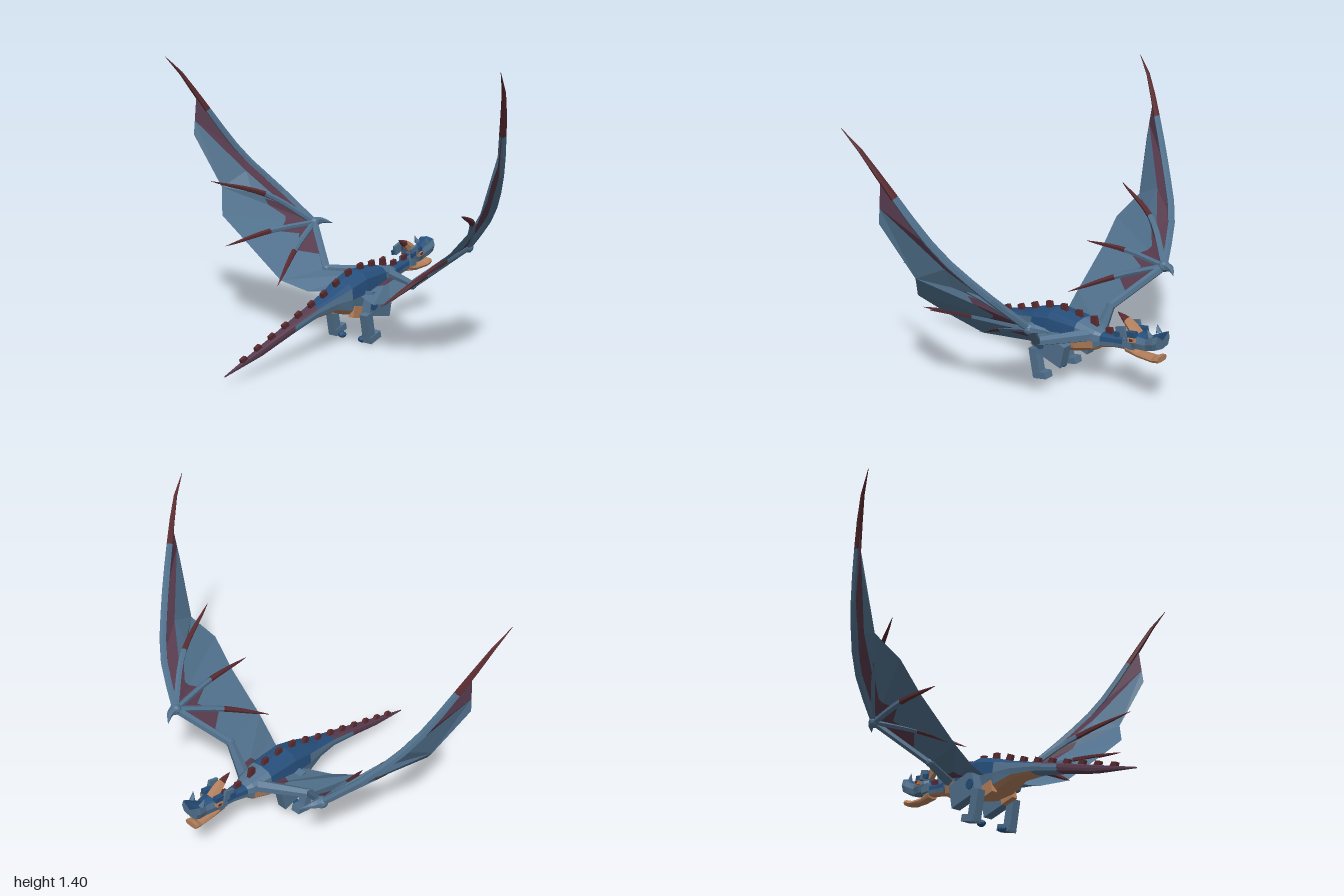
import * as THREE from 'three';

const mat = (name, color) => {
  const m = new THREE.MeshStandardMaterial({ color, flatShading: true, side: THREE.DoubleSide });
  m.name = name;
  return m;
};
const V = (x, y, z) => new THREE.Vector3(x, y, z);
const lerp = (a, b, t) => a.clone().lerp(b, t);

export function createModel() {
  const skin = mat('slate blue skin', 0x52728e);
  const back = mat('deep blue back', 0x264f7c);
  const maroon = mat('maroon marking', 0x583b4e);
  const spike = mat('dark red spike', 0x5a2b30);
  const belly = mat('tan belly', 0xb5805c);

  const model = new THREE.Group();
  const dragon = new THREE.Group();
  dragon.name = 'dragon';
  dragon.rotation.y = 0.04;
  dragon.position.x = -0.003;
  model.add(dragon);

  const add = (name, geo, material, parent = dragon) => {
    const m = new THREE.Mesh(geo, material);
    m.name = name;
    parent.add(m);
    return m;
  };
  const box = (name, material, size, pos, tilt = 0) => {
    const m = add(name, new THREE.BoxGeometry(...size), material);
    m.position.set(...pos);
    m.rotation.x = tilt;
  };
  const triMesh = (name, pts, material, parent) => {
    const g = new THREE.BufferGeometry().setFromPoints(pts);
    g.computeVertexNormals();
    add(name, g, material, parent);
  };

  // Loft of squarish sections [z, bottom, top, half width]; pick(i, up) gives the colour
  const loft = (name, rows, pick, sides = 12) => {
    const buckets = new Map();
    const pw = (v) => Math.sign(v) * Math.abs(v) ** 0.62;
    const at = (i, j) => {
      const [z, lo, hi, w] = rows[i], a = (j / sides) * Math.PI * 2;
      return V(w * pw(Math.cos(a)), (lo + hi) / 2 + ((hi - lo) / 2) * pw(Math.sin(a)), z);
    };
    const put = (m, ...p) => buckets.set(m, (buckets.get(m) || []).concat(p));
    for (let j = 0; j < sides; j++) {
      const up = Math.sin(((j + 0.5) / sides) * Math.PI * 2);
      for (let i = 0; i < rows.length - 1; i++) {
        const p = at(i, j), q = at(i, j + 1), r = at(i + 1, j + 1), s = at(i + 1, j);
        put(pick(i, up), p, q, r, p, r, s);
      }
      const n = rows.length - 1;
      const mid = (i) => V(0, (rows[i][1] + rows[i][2]) / 2, rows[i][0]);
      put(pick(0, up), mid(0), at(0, j + 1), at(0, j));
      put(pick(n - 1, up), mid(n), at(n, j), at(n, j + 1));
    }
    for (const [m, pts] of buckets) triMesh(`${name} ${m.name}`, pts, m);
  };

  // Tapered bone along a curve, second colour after the fraction "split"
  const bone = (name, pts, radius, mats, split, parent) => {
    const n = 10, sides = 6, path = new THREE.CatmullRomCurve3(pts);
    const g = new THREE.TubeGeometry(path, n, 1, sides);
    const p = g.attributes.position, v = V();
    for (let i = 0; i < p.count; i++) {
      const t = Math.floor(i / (sides + 1)) / n, c = path.getPointAt(t);
      v.fromBufferAttribute(p, i).sub(c).multiplyScalar(radius(t)).add(c);
      p.setXYZ(i, v.x, v.y, v.z);
    }
    const cut = Math.round(split * n) * sides * 6;
    g.addGroup(0, cut, 0);
    g.addGroup(cut, n * sides * 6 - cut, 1);
    g.computeVertexNormals();
    add(name, g, mats, parent);
  };

  // Neck, trunk and tail in one sweep
  const spine = [
    [-0.64, 0.29, 0.35, 0.028], [-0.53, 0.272, 0.33, 0.03], [-0.45, 0.25, 0.325, 0.042],
    [-0.42, 0.225, 0.335, 0.058], [-0.32, 0.19, 0.355, 0.078], [-0.15, 0.15, 0.36, 0.084],
    [-0.04, 0.155, 0.325, 0.077], [0.06, 0.192, 0.283, 0.06], [0.18, 0.186, 0.245, 0.042],
    [0.34, 0.148, 0.195, 0.032], [0.55, 0.09, 0.128, 0.019], [0.785, 0.047, 0.053, 0.002],
  ];
  loft('body', spine, (i, up) => {
    if (i >= 9 || (i === 8 && up > 0.4)) return maroon;
    if (i < 8 && up < (i === 3 || i === 4 ? -0.2 : -0.6)) return belly;
    if (i === 2 || i === 3) return skin;
    return up > (i < 6 ? 0.2 : 0.6) ? back : skin;
  });
  const topAt = (z) => {
    const i = Math.max(0, spine.findIndex((r) => r[0] > z) - 1), [a, b] = [spine[i], spine[i + 1]];
    return a[2] + ((b[2] - a[2]) * (z - a[0])) / (b[0] - a[0]);
  };

  // Row of swept-back plates
  for (let k = 0; k < 14; k++) {
    const z = -0.58 + k * 0.095;
    const h = z < -0.45 ? 0.028 : z < -0.3 ? 0.045 : 0.031 - 0.02 * Math.max(0, z);
    const s = new THREE.Shape([[-0.02, -0.015], [0.022, -0.015], [0.026, h * 0.8], [-0.006, h]].map((p) => new THREE.Vector2(...p)));
    const g = new THREE.ExtrudeGeometry(s, { depth: 0.018, bevelEnabled: false });
    g.translate(0, 0, -0.009).rotateY(-Math.PI / 2);
    const m = add('backSpike', g, spike);
    m.position.set(0, topAt(z), z);
    m.rotation.x = z > -0.1 ? 0.24 : 0;
  }

  // Head: skull, flared snout, hanging jaw, crest
  loft('skull', [
    [-0.785, 0.345, 0.428, 0.052], [-0.76, 0.332, 0.415, 0.05], [-0.71, 0.312, 0.385, 0.034],
    [-0.66, 0.308, 0.39, 0.046], [-0.61, 0.308, 0.392, 0.042], [-0.59, 0.31, 0.37, 0.028],
  ], (i, up) => (up > 0.8 ? back : skin), 8);
  loft('jaw', [
    [-0.785, 0.28, 0.312, 0.036], [-0.765, 0.274, 0.308, 0.036], [-0.745, 0.27, 0.295, 0.032],
    [-0.66, 0.265, 0.292, 0.026], [-0.59, 0.272, 0.315, 0.03],
  ], () => belly, 8);
  bone('crestHorn', [V(0, 0.37, -0.645), V(0, 0.415, -0.59), V(0, 0.448, -0.525)],
    (t) => 0.028 * (1 - t * t) + 0.002, [belly, spike], 0.6);

  for (const s of [1, -1]) {
    const P = (x, y, z) => V(s * x, y, z);
    // Nose horns, brows, cheeks and ear frills
    bone('noseHorn', [P(0.032, 0.4, -0.74), P(0.036, 0.42, -0.73), P(0.038, 0.437, -0.725)],
      (t) => 0.014 * (1 - t) + 0.001, [skin, skin], 1);
    box('brow', back, [0.026, 0.026, 0.05], [s * 0.04, 0.385, -0.64], 0.2);
    box('cheek', belly, [0.024, 0.02, 0.036], [s * 0.048, 0.362, -0.648], 0.2);
    box('eye', spike, [0.006, 0.012, 0.018], [s * 0.059, 0.364, -0.65], 0.2);
    box('earFrill', skin, [0.014, 0.05, 0.055], [s * 0.054, 0.386, -0.59], 0.3);
    box('frillTip', back, [0.012, 0.024, 0.035], [s * 0.062, 0.372, -0.57], 0.3);
    box('jawHinge', skin, [0.016, 0.045, 0.05], [s * 0.032, 0.325, -0.61]);

    // Hind legs
    box('thigh', skin, [0.05, 0.12, 0.175], [s * 0.1, 0.192, -0.205], -0.22);
    box('hip', belly, [0.03, 0.06, 0.08], [s * 0.063, 0.17, -0.085], -0.22);
    const joint = add('hipJoint', new THREE.CylinderGeometry(0.026, 0.026, 0.008, 10), back);
    joint.rotation.z = Math.PI / 2;
    joint.position.set(s * 0.126, 0.2, -0.145);
    box('shank', skin, [0.042, 0.15, 0.05], [s * 0.11, 0.09, -0.115], 0.2);
    box('foot', skin, [0.05, 0.034, 0.085], [s * 0.11, 0.035, -0.15], 0.25);
    const toe = add('innerToe', new THREE.SphereGeometry(0.022, 8, 6), back);
    toe.scale.y = 0.75;
    toe.position.set(s * 0.064, 0.018, -0.13);

    // Wing bones
    const wing = new THREE.Group();
    wing.name = s > 0 ? 'leftWing' : 'rightWing';
    dragon.add(wing);
    const S = P(0.05, 0.3, -0.385), E = P(0.273, 0.305, -0.26), W = P(0.49, 0.5, -0.42);
    const L = [W, P(0.66, 0.68, -0.33), P(0.8, 0.88, -0.18), P(0.93, 1.2, 0.015)];
    bone('upperArm', [S, E], (t) => 0.032 - 0.01 * t, [skin, skin], 1, wing);
    bone('forearm', [E, W], () => 0.021, [skin, skin], 1, wing);
    for (const [name, c, r] of [['elbow', E, 0.024], ['wrist', W, 0.03]]) {
      add(name, new THREE.IcosahedronGeometry(r, 1), skin, wing).position.copy(c);
    }
    bone('wristClaw', [W, P(0.478, 0.505, -0.465), P(0.44, 0.49, -0.515)],
      (t) => 0.028 * (1 - t) + 0.001, [skin, skin], 1, wing);
    bone('leadingFinger', [...L, P(0.965, 1.3, 0.075), P(1, 1.4, 0.165)],
      (t) => 0.018 * (1 - t ** 6) + 0.001, [skin, spike], 0.7, wing);
    const fingers = [
      [P(0.64, 0.66, -0.22), P(0.77, 0.76, 0.08)],
      [P(0.55, 0.49, -0.13), P(0.587, 0.455, 0.166)],
      [P(0.42, 0.4, -0.18), P(0.324, 0.27, 0.067)],
    ];
    for (const f of fingers) {
      bone('finger', [W, ...f], (t) => 0.015 * (1 - t ** 4) + 0.001, [skin, spike], 0.5, wing);
    }

    // Wing membrane, with darker markings by the bones
    const dark = [], light = [];
    const quad = (out, a, b, c, d) => out.push(a, b, c, a, c, d);
    const fan = (o, pts, cuts) => {
      for (let i = 0; i < pts.length - 1; i++) {
        const a = lerp(o, pts[i], cuts[i]), b = lerp(o, pts[i + 1], cuts[i + 1]);
        dark.push(o, a, b);
        quad(light, a, pts[i], pts[i + 1], b);
      }
    };
    const A = P(0.925, 0.99, 0.045), N = P(0.79, 0.715, -0.02), B = P(0.707, 0.585, 0.065);
    const M = P(0.57, 0.465, 0.04), C = P(0.345, 0.285, 0.02);
    const R = P(0.21, 0.24, -0.03), D = P(0.08, 0.245, -0.1);
    // Outer panel between leading edge and second finger
    const rear = [W, lerp(W, fingers[0][0], 0.75), lerp(fingers[0][0], N, 0.35), N];
    const mid = [W, lerp(L[1], rear[1], 0.9), lerp(L[2], rear[2], 0.46), lerp(L[3], A, 0.65)];
    for (let i = 0; i < 3; i++) {
      quad(dark, L[i], L[i + 1], mid[i + 1], mid[i]);
      quad(light, mid[i], mid[i + 1], rear[i + 1], rear[i]);
    }
    light.push(mid[3], A, N);
    // Inner panels fanning from the wrist, then the panel at the body
    fan(W, [rear[1], rear[2], N, lerp(N, B, 0.5), B, M], [0.95, 0.8, 0.5, 0.32, 0.32, 0.5]);
    fan(W, [M, lerp(M, C, 0.5), C, E], [0.5, 0.3, 0.5, 0.7]);
    fan(P(0.07, 0.295, -0.34), [E, C, R, D], [0.25, 0.22, 0.3, 0.45]);
    triMesh('wingMarking', dark, maroon, wing);
    triMesh('wingMembrane', light, skin, wing);
  }
  return model;
}
